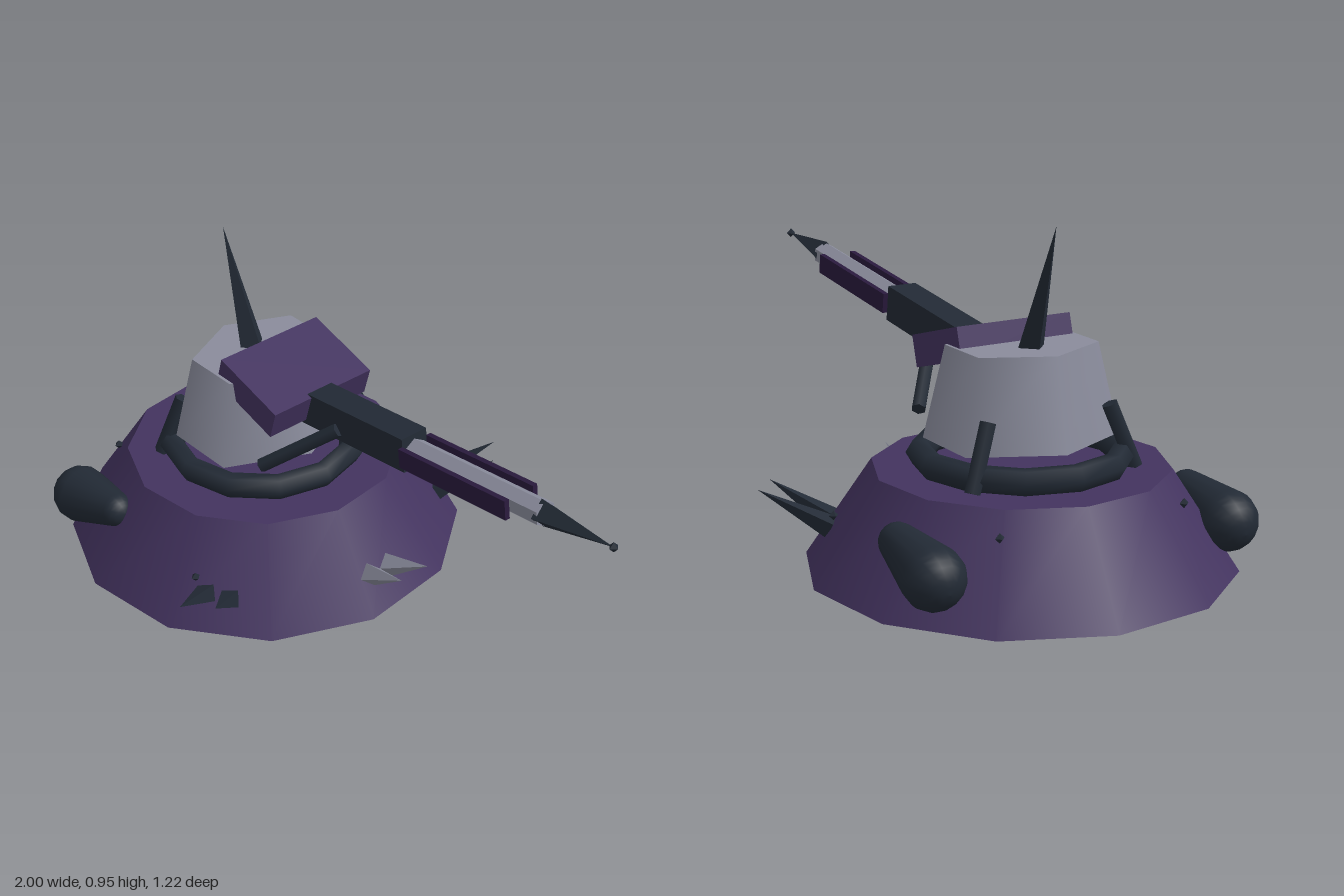
import * as THREE from 'three';

const mat = (color, flatShading = false) => new THREE.MeshStandardMaterial({ color, flatShading });
const purple = mat(0x43335f), deepPurple = mat(0x2a1a3d);
const dark = mat(0x222a35), darkFlat = mat(0x222a35, true);
const grey = mat(0x8a8c9c), greyFlat = mat(0x8a8c9c, true);
const UP = new THREE.Vector3(0, 1, 0);
const CX = -0.41; // axis of base, ring and tower

export function createModel() {
  const model = new THREE.Group();
  model.name = 'turret';

  function add(name, geometry, material, x = 0, y = 0, z = 0, parent = model) {
    const mesh = new THREE.Mesh(geometry, material);
    mesh.name = name;
    mesh.position.set(x, y, z);
    parent.add(mesh);
    return mesh;
  }

  // Tapered rod or spike running from a to b
  function taper(name, a, b, r0, r1, sides, material) {
    const from = new THREE.Vector3(...a), to = new THREE.Vector3(...b);
    const dir = to.clone().sub(from);
    const mid = from.clone().addScaledVector(dir, 0.5);
    const mesh = add(name, new THREE.CylinderGeometry(r1, r0, dir.length(), sides), material, mid.x, mid.y, mid.z);
    mesh.quaternion.setFromUnitVectors(UP, dir.normalize());
    return mesh;
  }

  // Base mound
  add('base', new THREE.CylinderGeometry(0.41, 0.595, 0.28, 12), purple, CX, 0.14, 0).rotation.y = -0.135;

  // Collar ring
  add('collarRing', new THREE.TorusGeometry(0.275, 0.037, 6, 12), dark, CX, 0.312, 0).rotation.x = Math.PI / 2;

  // Six-sided tower, wider across than along
  const tower = add('tower', new THREE.CylinderGeometry(0.216, 0.278, 0.255, 6), grey, CX, 0.4875, 0);
  tower.rotation.y = Math.PI / 2;
  tower.scale.set(1, 1, 0.81);
  tower.geometry.rotateY(Math.PI / 6);
  tower.rotation.y = 0;
  tower.geometry.rotateY(0);
  tower.geometry.rotateY(Math.PI / 3);
  tower.scale.set(0.81, 1, 1);

  // Roof spike
  taper('roofSpike', [-0.45, 0.6, 0], [-0.57, 0.955, 0], 0.042, 0, 4, darkFlat);

  // Sloped hood
  add('hood', new THREE.BoxGeometry(0.25, 0.09, 0.356), purple, -0.262, 0.593, 0).rotation.z = -0.285;

  // Gun, built along x and tilted up
  const gun = new THREE.Group();
  gun.name = 'gun';
  gun.position.set(0.02, 0.574, 0);
  gun.rotation.z = 0.12;
  model.add(gun);
  add('gunBody', new THREE.BoxGeometry(0.475, 0.104, 0.09), dark, 0, 0, 0, gun);
  add('barrel', new THREE.CylinderGeometry(0.037, 0.037, 0.52, 6).rotateX(0).rotateZ(-Math.PI / 2),
    greyFlat, 0.475, 0, 0, gun).rotation.x = Math.PI / 6 * 3;
  add('muzzleCone', new THREE.ConeGeometry(0.042, 0.25, 4).rotateZ(-Math.PI / 2), darkFlat, 0.848, 0, 0, gun);
  add('muzzleTip', new THREE.OctahedronGeometry(0.015), darkFlat, 0.972, 0, 0, gun);
  for (const s of [-1, 1]) add('barrelRail', new THREE.BoxGeometry(0.41, 0.058, 0.016), deepPurple, 0.442, 0, s * 0.052, gun);

  // Pear-shaped pod outline: a large and a small sphere joined by a straight side
  const R = 0.086, r = 0.052, L = 0.185, pod = [];
  const lean = Math.asin((R - r) / L);
  for (let i = 0; i <= 8; i++) {
    const t = -Math.PI / 2 + (lean + Math.PI / 2) * i / 8;
    pod.push(new THREE.Vector2(R * Math.cos(t), R * Math.sin(t)));
  }
  for (let i = 0; i <= 6; i++) {
    const t = lean + (Math.PI / 2 - lean) * i / 6;
    pod.push(new THREE.Vector2(Math.max(0, r * Math.cos(t)), L + r * Math.sin(t)));
  }

  // Parts mirrored front and back
  for (const s of [-1, 1]) {
    taper('gunBrace', [-0.185, 0.405, s * 0.19], [-0.01, 0.555, s * 0.05], 0.021, 0.021, 6, dark);
    taper('towerBrace', [-0.58, 0.28, s * 0.255], [-0.55, 0.455, s * 0.19], 0.024, 0.024, 6, dark);

    const p = add('pod', new THREE.LatheGeometry(pod, 14), dark, -0.73, 0.135, s * 0.457);
    p.quaternion.setFromUnitVectors(UP, new THREE.Vector3(0.18, 0.042, 0).normalize());

    taper('sideSpike', [-0.14, 0.095, s * 0.44], [-0.035, 0.2, s * 0.61], 0.034, 0, 4, darkFlat);
    taper('sideSpike', [-0.075, 0.095, s * 0.405], [0.035, 0.2, s * 0.54], 0.034, 0, 4, darkFlat);
    taper('endSpike', [0.115, 0.105, s * 0.035], [0.265, 0.178, s * 0.05], 0.036, 0, 4, greyFlat);

    // Rivets
    add('rivet', new THREE.OctahedronGeometry(0.014), darkFlat, -0.765, 0.22, s * 0.285);
    add('rivet', new THREE.OctahedronGeometry(0.014), darkFlat, -0.175, 0.14, s * 0.45);
  }
  return model;
}
